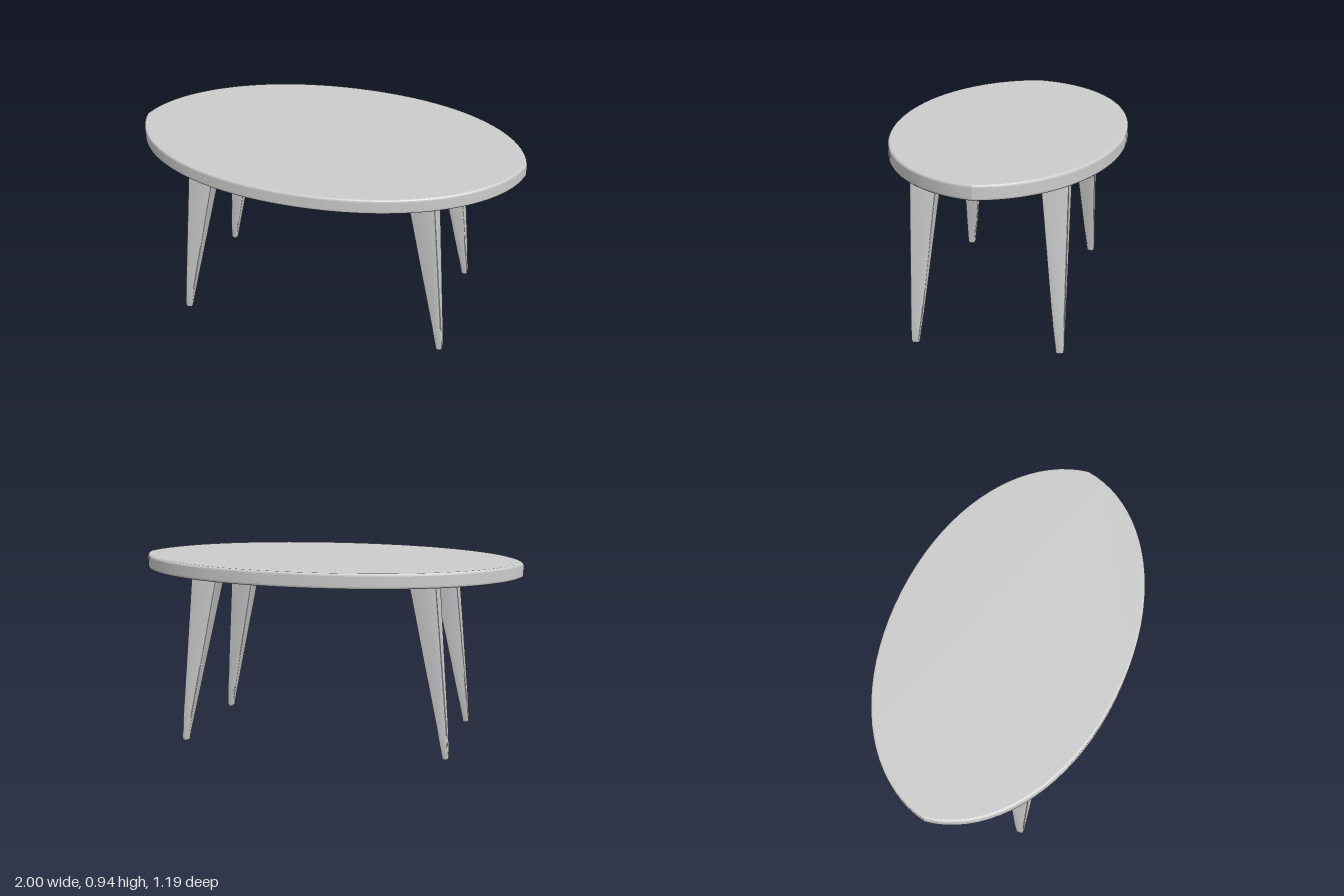
import * as THREE from 'three';
import { toCreasedNormals } from 'three/addons/utils/BufferGeometryUtils.js';

const material = new THREE.MeshStandardMaterial({ color: 0xcccccc });

// Oval slab with softly rounded rims and slightly pointed ends
function makeTop() {
  const bottom = 0.865, thickness = 0.075, bevel = 0.012;
  const shape = new THREE.Shape();
  shape.moveTo(1, 0);
  shape.bezierCurveTo(0.95, 0.33, 0.55, 0.597, 0, 0.597);
  shape.bezierCurveTo(-0.55, 0.597, -0.95, 0.33, -1, 0);
  shape.bezierCurveTo(-0.95, -0.33, -0.55, -0.597, 0, -0.597);
  shape.bezierCurveTo(0.55, -0.597, 0.95, -0.33, 1, 0);
  const geometry = new THREE.ExtrudeGeometry(shape, {
    depth: thickness - 2 * bevel, curveSegments: 20, bevelEnabled: true,
    bevelThickness: bevel, bevelSize: bevel, bevelOffset: -bevel, bevelSegments: 3,
  });
  geometry.rotateX(-Math.PI / 2).translate(0, bottom + bevel, 0);
  const mesh = new THREE.Mesh(toCreasedNormals(geometry, 0.2), material);
  mesh.name = 'tableTop';
  return mesh;
}

// Tapered, splayed square leg with softened corners, lofted from the foot up
function makeLeg(sx, sz) {
  // y, x min, x max, z min, z max, corner radius
  const sections = [
    [0.000, 0.670, 0.690, 0.342, 0.370, 0.008],
    [0.006, 0.664, 0.696, 0.338, 0.375, 0.010],
    [0.020, 0.663, 0.697, 0.335, 0.378, 0.011],
    [0.140, 0.640, 0.688, 0.321, 0.379, 0.007],
    [0.870, 0.490, 0.620, 0.245, 0.380, 0.002],
  ];
  const cornerSteps = 3, count = 4 * (cornerSteps + 1);
  const rings = sections.map(([y, x0, x1, z0, z1, r]) => {
    const ring = [];
    for (let c = 0; c < 4; c++) {
      const cx = c === 0 || c === 3 ? x1 - r : x0 + r;
      const cz = c < 2 ? z1 - r : z0 + r;
      for (let s = 0; s <= cornerSteps; s++) {
        const a = (c + s / cornerSteps) * Math.PI / 2;
        ring.push([sx * (cx + r * Math.cos(a)), y, sz * (cz + r * Math.sin(a))]);
      }
    }
    return ring;
  });
  const positions = [];
  const flip = sx * sz < 0; // a single mirror reverses the winding
  const tri = (a, b, c) => positions.push(...a, ...(flip ? c : b), ...(flip ? b : c));
  for (let i = 0; i < rings.length - 1; i++) {
    for (let j = 0; j < count; j++) {
      const k = (j + 1) % count;
      tri(rings[i][j], rings[i + 1][j], rings[i][k]);
      tri(rings[i][k], rings[i + 1][j], rings[i + 1][k]);
    }
  }
  // Closed foot and closed upper end
  const foot = rings[0], head = rings[rings.length - 1];
  for (let j = 1; j < count - 1; j++) {
    tri(foot[0], foot[j], foot[j + 1]);
    tri(head[0], head[j + 1], head[j]);
  }
  const geometry = new THREE.BufferGeometry();
  geometry.setAttribute('position', new THREE.Float32BufferAttribute(positions, 3));
  const mesh = new THREE.Mesh(toCreasedNormals(geometry, 0.45), material);
  mesh.name = (sz > 0 ? 'front' : 'back') + (sx > 0 ? 'Left' : 'Right') + 'Leg';
  return mesh;
}

export function createModel() {
  const table = new THREE.Group();
  table.name = 'ovalTable';
  table.add(makeTop());
  for (const sx of [-1, 1]) for (const sz of [-1, 1]) table.add(makeLeg(sx, sz));
  return table;
}
